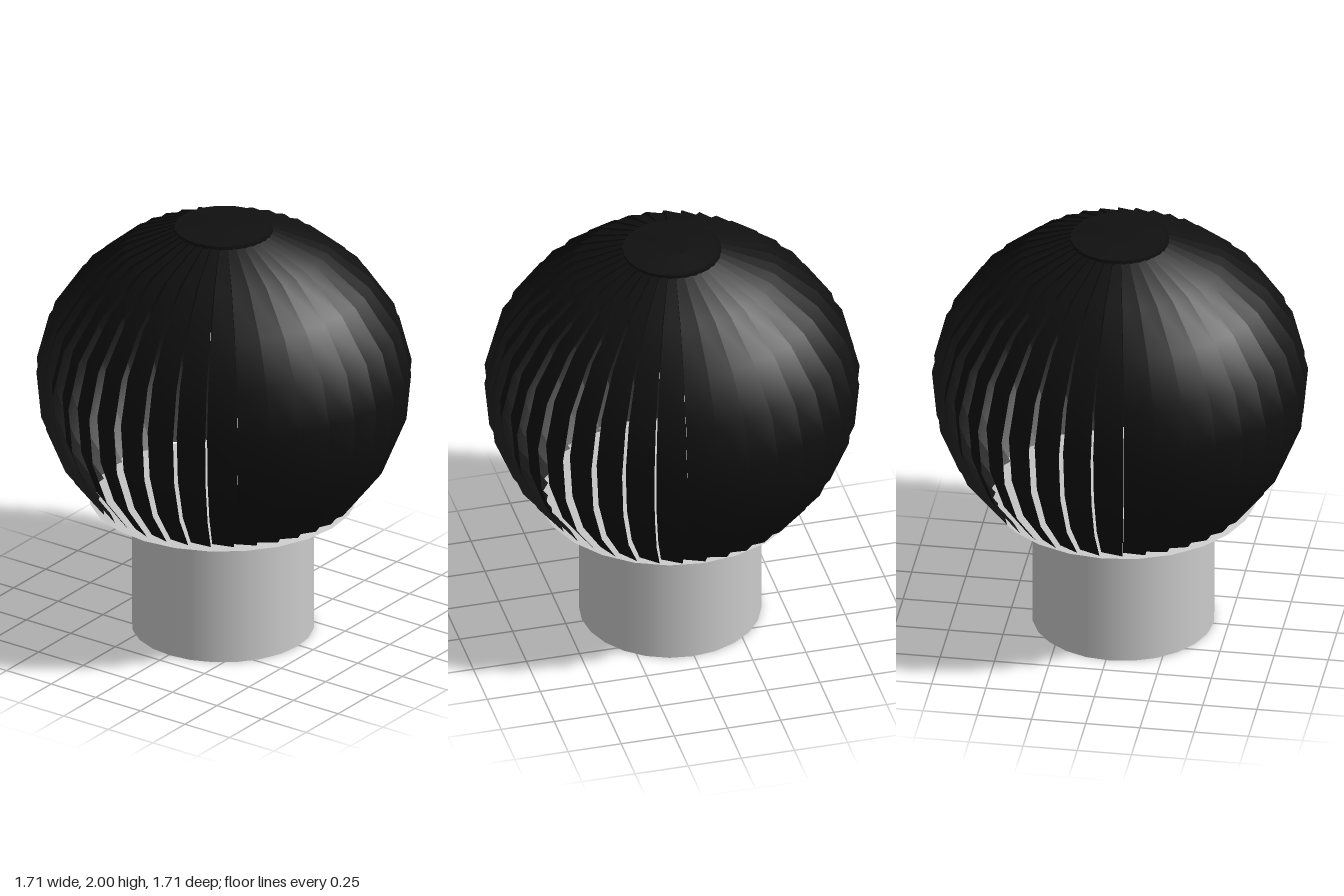
import * as THREE from 'three';

const VANES = 36;
const STEP = (Math.PI * 2) / VANES;

// Outer edge of a vane from crown to collar: radius, height
const PROFILE = [
  [0.2, 1.985], [0.47, 1.875], [0.665, 1.71], [0.8, 1.51],
  [0.857, 1.29], [0.835, 1.06], [0.745, 0.84], [0.6, 0.655],
];

// Thin curved blade: outer edge at angle 0, inner edge set back at the next blade
function vaneGeometry() {
  const positions = [];
  const index = [];
  const sweep = STEP * 0.97;
  PROFILE.forEach(([r, y], i) => {
    const inner = r * 0.945;
    positions.push(r, y, 0);
    positions.push(inner * Math.cos(sweep), y, inner * Math.sin(sweep));
    if (i > 0) {
      const a = 2 * (i - 1);
      index.push(a, a + 1, a + 2, a + 1, a + 3, a + 2);
    }
  });
  const geometry = new THREE.BufferGeometry();
  geometry.setAttribute('position', new THREE.Float32BufferAttribute(positions, 3));
  geometry.setIndex(index);
  geometry.computeVertexNormals();
  return geometry;
}

export function createModel() {
  const model = new THREE.Group();
  model.name = 'turbineVent';

  const grey = new THREE.MeshStandardMaterial({ color: 0xcccccc, side: THREE.DoubleSide });
  const black = new THREE.MeshStandardMaterial({ color: 0x101010, side: THREE.DoubleSide });

  const add = (parent, name, geometry, material, y = 0) => {
    const mesh = new THREE.Mesh(geometry, material);
    mesh.name = name;
    mesh.position.y = y;
    parent.add(mesh);
    return mesh;
  };

  // Base: neck with a bore, flared collar and a shallow raised floor
  const base = new THREE.Group();
  base.name = 'base';
  base.position.set(-0.015, 0, 0.005);
  model.add(base);
  add(base, 'neck', new THREE.CylinderGeometry(0.416, 0.416, 0.56, 24, 1, true), grey, 0.28);
  add(base, 'bore', new THREE.CylinderGeometry(0.205, 0.205, 0.645, 24, 1, true), grey, 0.3225);
  add(base, 'neckBottom', new THREE.RingGeometry(0.205, 0.416, 24).rotateX(Math.PI / 2), grey);
  add(base, 'collar', new THREE.CylinderGeometry(0.612, 0.416, 0.085, 24, 1, true), grey, 0.6025);
  add(base, 'collarFloor', new THREE.CylinderGeometry(0.2, 0.612, 0.065, 24, 1, true), grey, 0.6775);
  add(base, 'floorCap', new THREE.CircleGeometry(0.2, 24).rotateX(-Math.PI / 2), grey, 0.71);

  // Ring of overlapping blades
  const vanes = new THREE.Group();
  vanes.name = 'vanes';
  model.add(vanes);
  const geometry = vaneGeometry();
  for (let i = 0; i < VANES; i++) {
    add(vanes, 'vane', geometry, black).rotation.y = -i * STEP;
  }

  // Crown plate with a slightly domed top
  const crown = new THREE.Group();
  crown.name = 'crown';
  model.add(crown);
  add(crown, 'crownPlate', new THREE.CylinderGeometry(0.225, 0.225, 0.018, 24), black, 1.979);
  add(crown, 'crownDome', new THREE.CylinderGeometry(0.08, 0.21, 0.012, 24), black, 1.994);

  return model;
}
